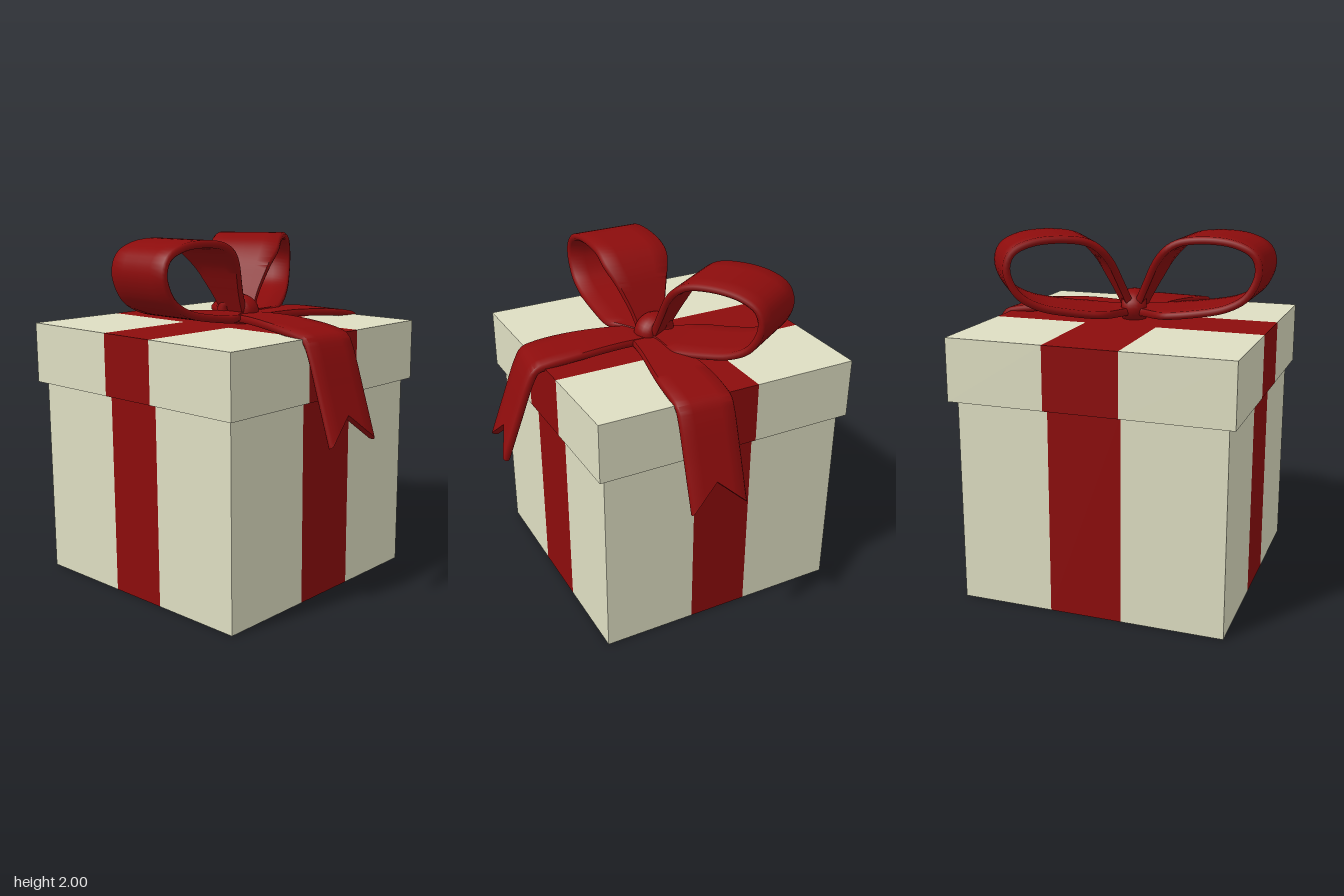
import * as THREE from 'three';
import { toCreasedNormals } from 'three/addons/utils/BufferGeometryUtils.js';

const cream = new THREE.MeshStandardMaterial({ color: 0xdedec2 });
const red = new THREE.MeshStandardMaterial({ color: 0x8c0c0c });

const BAND_Z = [-0.30, 0.06];
const KNOT = [-0.11, -0.06];

// Box split along the ribbon lines, so the red bands lie flush in its faces
function bandedBox(name, min, max, y0, y1, bandX) {
  const size = max - min;
  const geo = new THREE.BoxGeometry(size, y1 - y0, size, 3, 1, 3);
  const pos = geo.attributes.position;
  const snap = (c, band) => [min, band[0], band[1], max][Math.round((c / size + 0.5) * 3)];
  for (let i = 0; i < pos.count; i++) {
    pos.setXYZ(i, snap(pos.getX(i), bandX), pos.getY(i) + (y0 + y1) / 2, snap(pos.getZ(i), BAND_Z));
  }
  const index = geo.index.array, plain = [], banded = [];
  const inside = (c, band) => c > band[0] && c < band[1];
  for (let i = 0; i < index.length; i += 3) {
    const tri = [index[i], index[i + 1], index[i + 2]];
    const cx = tri.reduce((s, k) => s + pos.getX(k), 0) / 3;
    const cz = tri.reduce((s, k) => s + pos.getZ(k), 0) / 3;
    (inside(cx, bandX) || inside(cz, BAND_Z) ? banded : plain).push(...tri);
  }
  const group = new THREE.Group();
  group.name = name;
  for (const [part, list, mat] of [['Panels', plain, cream], ['Bands', banded, red]]) {
    const g = geo.clone();
    g.setIndex(list);
    const mesh = new THREE.Mesh(g.toNonIndexed(), mat);
    mesh.name = name + part;
    group.add(mesh);
  }
  return group;
}

// Half section of a ribbon: position across, height (in thicknesses)
const HALF = [[-1, 0.22], [-0.94, 0.5], [-0.5, 0.5], [0, 0.5], [0.5, 0.5], [0.94, 0.5], [1, 0.22]];
const SECTION = [...HALF, ...HALF.map(([v, h]) => [v, -h]).reverse()];

// Sweeps the section along a path in the xy plane; notch cuts a V in the far end
function ribbon(path, widthAt, steps, notch = 0, thick = 0.042) {
  const curve = new THREE.CatmullRomCurve3(path.map(([x, y]) => new THREE.Vector3(x, y, 0)));
  const length = curve.getLength(), n = SECTION.length;
  const verts = [], index = [];
  for (let i = 0; i <= steps; i++) {
    const u = i / steps;
    for (const [v, h] of SECTION) {
      const s = u - (notch / length) * (1 - Math.abs(v)) * u ** 8;
      const p = curve.getPointAt(s), t = curve.getTangentAt(s);
      verts.push(p.x - t.y * h * thick, p.y + t.x * h * thick, v * widthAt(p.x) / 2);
    }
  }
  for (let i = 0; i < steps; i++) {
    for (let j = 0; j < n; j++) {
      const a = i * n + j, c = i * n + (j + 1) % n;
      index.push(a, c, a + n, c, c + n, a + n);
    }
  }
  // End caps
  const e = steps * n;
  for (let j = 0; j < HALF.length - 1; j++) {
    const k = n - 1 - j;
    index.push(e + j, e + j + 1, e + k - 1, e + j, e + k - 1, e + k);
    index.push(j, k - 1, j + 1, j, k, k - 1);
  }
  const geo = new THREE.BufferGeometry();
  geo.setAttribute('position', new THREE.Float32BufferAttribute(verts, 3));
  geo.setIndex(index);
  return toCreasedNormals(geo, 0.9);
}

function place(name, geo, x, y, z, turn) {
  const mesh = new THREE.Mesh(geo, red);
  mesh.name = name;
  mesh.position.set(x, y, z);
  mesh.rotation.y = turn;
  return mesh;
}

export function createModel() {
  const model = new THREE.Group();
  model.name = 'giftBox';
  model.add(bandedBox('box', -0.88, 0.61, 0, 1.15, [-0.315, 0.09]));
  model.add(bandedBox('lid', -0.92, 0.65, 1.15, 1.5, [-0.315, 0.1]));

  // Bow loops, pinched at the knot
  const bow = new THREE.Group();
  bow.name = 'bow';
  const loop = ribbon(
    [[0, 1.55], [0.19, 1.553], [0.39, 1.575], [0.59, 1.62], [0.70, 1.69], [0.757, 1.82], [0.73, 1.91],
      [0.63, 1.963], [0.44, 1.979], [0.29, 1.95], [0.19, 1.86], [0.11, 1.72], [0.04, 1.58]],
    d => 0.18 + 0.24 * THREE.MathUtils.smoothstep(d, 0.02, 0.26), 72);
  bow.add(place('rightLoop', loop, KNOT[0], 0, KNOT[1], Math.PI));
  bow.add(place('leftLoop', loop, KNOT[0], 0, KNOT[1], 0.575));

  // Tails folding over the lid edge, with notched ends
  const tail = ribbon(
    [[0, 1.54], [0.3, 1.545], [0.55, 1.53], [0.72, 1.508], [0.785, 1.487], [0.82, 1.43], [0.91, 1.19], [0.995, 0.955]],
    d => 0.19 + 0.135 * THREE.MathUtils.smoothstep(d, 0, 0.65), 64, 0.15);
  bow.add(place('frontTail', tail, -0.115, 0, -0.1, -Math.PI / 2 - 0.13));
  bow.add(place('sideTail', tail, -0.11, 0, 0.015, -0.05));

  // Knot wrapped round the middle
  const knot = new THREE.TorusGeometry(0.6, 0.4, 16, 32);
  knot.scale(0.125, 0.1, 0.18);
  knot.rotateY(Math.PI / 2);
  bow.add(place('knot', knot, KNOT[0], 1.57, KNOT[1], 0.27));
  model.add(bow);
  return model;
}
